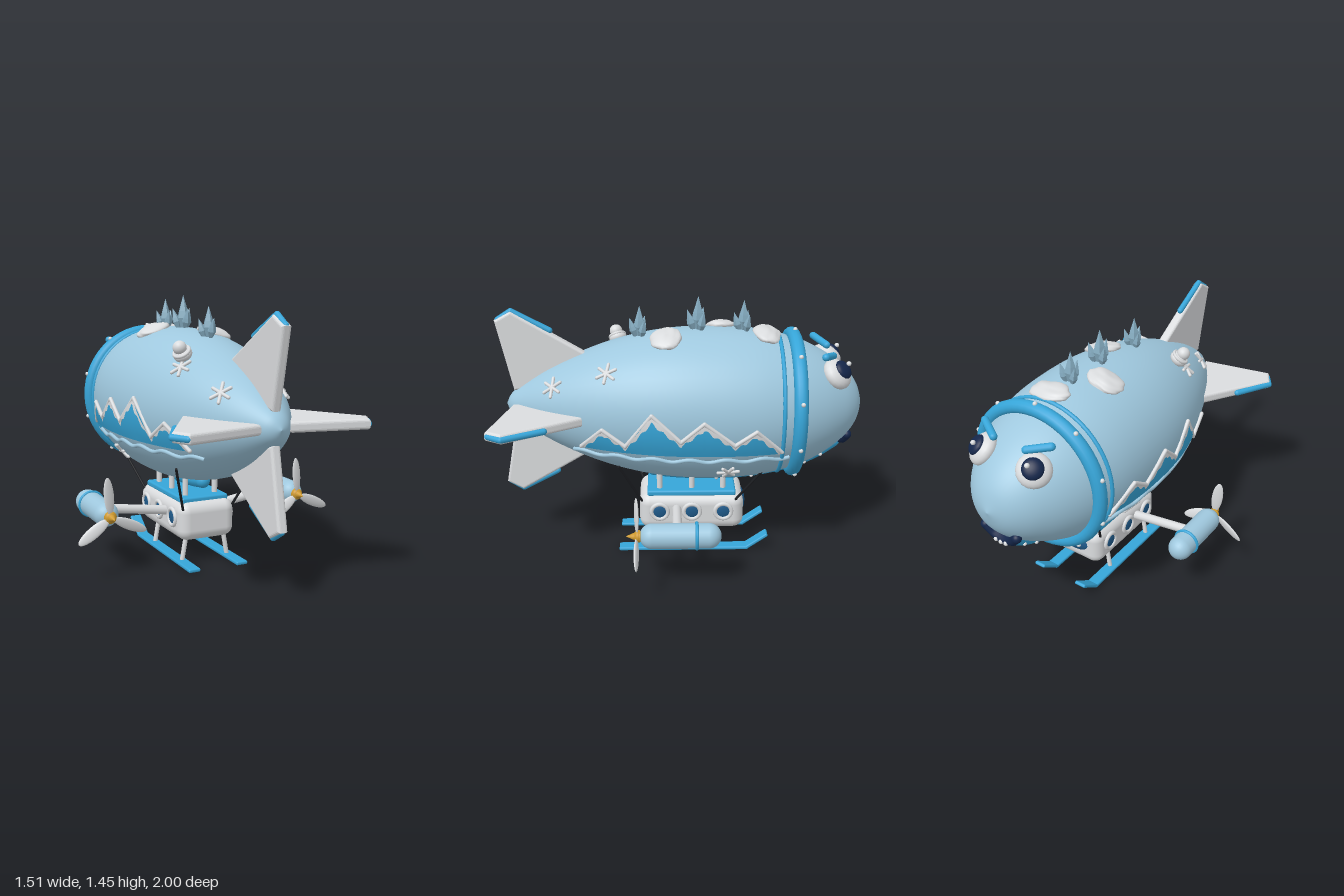
import * as THREE from 'three';
import { mergeVertices } from 'three/addons/utils/BufferGeometryUtils.js';
import { RoundedBoxGeometry } from 'three/addons/geometries/RoundedBoxGeometry.js';

const V = (x, y, z) => new THREE.Vector3(x, y, z);
const AXIS = 0.85; // height of the hull axis
const UP = V(0, 1, 0);

export function createModel() {
  const model = new THREE.Group();
  model.name = 'airship';
  const root = new THREE.Group();
  root.name = 'airshipBody';
  root.position.x = -0.0125;
  model.add(root);

  const mat = (name, color, side = THREE.FrontSide) => {
    const m = new THREE.MeshStandardMaterial({ color, side });
    m.name = name;
    return m;
  };
  const skin = mat('paleBlue', 0x9fc8de);
  const white = mat('snowGrey', 0xdadcde, THREE.DoubleSide);
  const blue = mat('brightBlue', 0x36a5d8, THREE.DoubleSide);
  const navy = mat('navy', 0x14264a);
  const glass = mat('windowBlue', 0x1f5a8a);
  const gold = mat('gold', 0xcf9a2e);
  const black = mat('black', 0x1c1e22);
  const ice = mat('crystalBlue', 0x86adc2);
  ice.flatShading = true;

  const add = (name, geo, material, parent = root, pos) => {
    const m = new THREE.Mesh(geo, material);
    m.name = name;
    if (pos) m.position.copy(pos);
    parent.add(m);
    return m;
  };
  const ball = (name, r, material, parent, pos, scale) => {
    const m = add(name, new THREE.SphereGeometry(r, 20, 14), material, parent, pos);
    if (scale) m.scale.set(...scale);
    return m;
  };
  // Rod or capsule between two points
  const rod = (name, a, b, r, material, parent = root, round = false) => {
    const len = a.distanceTo(b);
    const geo = round ? new THREE.CapsuleGeometry(r, len, 6, 12) : new THREE.CylinderGeometry(r, r, len, 12);
    const m = add(name, geo, material, parent, a.clone().add(b).multiplyScalar(0.5));
    m.quaternion.setFromUnitVectors(UP, b.clone().sub(a).normalize());
    return m;
  };

  // Hull: lathe profile of radius against length, nose at -z
  const profile = new THREE.SplineCurve([
    [0, -1], [0.1, -0.97], [0.175, -0.92], [0.238, -0.85], [0.303, -0.75], [0.36, -0.62], [0.402, -0.45],
    [0.419, -0.3], [0.423, -0.15], [0.418, 0], [0.401, 0.15], [0.37, 0.3], [0.325, 0.45], [0.265, 0.6],
    [0.19, 0.75], [0.105, 0.88], [0.055, 0.94], [0, 0.968],
  ].map(p => new THREE.Vector2(...p))).getPoints(68);
  profile.forEach(p => { p.x = Math.max(0, p.x); });
  add('hull', new THREE.LatheGeometry(profile, 48).rotateX(Math.PI / 2), skin, root, V(0, AXIS, 0));

  const radius = z => {
    const i = Math.max(1, profile.findIndex(p => p.y >= z));
    const a = profile[i - 1], b = profile[i];
    return THREE.MathUtils.lerp(a.x, b.x, (z - a.y) / (b.y - a.y));
  };
  const onSide = (s, y, z, lift = 0) => {
    const r = radius(z) + lift;
    return V(s * Math.sqrt(Math.max(0, r * r - (y - AXIS) ** 2)), y, z);
  };
  const normalAt = p => {
    const slope = (radius(p.z + 0.02) - radius(p.z - 0.02)) / 0.04;
    const n = V(p.x, p.y - AXIS, 0).normalize();
    n.z = -slope;
    return n.normalize();
  };
  // Group standing on the hull with local y pointing outwards
  const mount = (name, p) => {
    const g = new THREE.Group();
    g.name = name;
    g.position.copy(p);
    g.quaternion.setFromUnitVectors(UP, normalAt(p));
    root.add(g);
    return g;
  };
  const onTop = (x, z) => V(x, AXIS + Math.sqrt(radius(z) ** 2 - x * x), z);

  // Collar rings with rivets
  add('collar', new THREE.TorusGeometry(0.378, 0.037, 14, 56), blue, root, V(0, AXIS, -0.61));
  add('thinCollar', new THREE.TorusGeometry(0.388, 0.011, 8, 56), blue, root, V(0, AXIS, -0.525));
  for (let i = 0; i < 10; i++) {
    const a = Math.PI / 2 + i * Math.PI / 5;
    ball('collarRivet', 0.012, white, root, V(Math.cos(a) * 0.414, AXIS + Math.sin(a) * 0.414, -0.615));
  }

  // Keel band under the hull
  const keel = [];
  for (let z = 0.16; z > -0.87; z -= 0.085) keel.push(V(0, AXIS - radius(z) - 0.008, z));
  add('keelBand', new THREE.TubeGeometry(new THREE.CatmullRomCurve3(keel), 48, 0.04, 12), blue);
  ball('keelEnd', 0.04, blue, root, keel[0]);
  ball('keelEnd', 0.04, blue, root, keel[keel.length - 1]);
  for (const z of [-0.79, -0.7, -0.4, -0.2])
    for (const s of [1, -1]) ball('keelRivet', 0.011, white, root, V(s * 0.033, AXIS - radius(z) - 0.032, z));

  // Four tail fins with bright tips
  const finShape = new THREE.Shape([[0.5, 0.28], [0.91, 0.525], [1.0, 0.475], [0.92, 0.08], [0.7, 0.1]]
    .map(p => new THREE.Vector2(...p)));
  const finGeo = new THREE.ExtrudeGeometry(finShape, {
    depth: 0.022, bevelEnabled: true, bevelSize: 0.015, bevelThickness: 0.016, bevelOffset: -0.015, bevelSegments: 4,
  }).translate(0, 0, -0.011).rotateY(-Math.PI / 2);
  for (let i = 0; i < 4; i++) {
    const fin = new THREE.Group();
    fin.name = 'tailFin';
    fin.position.y = AXIS;
    fin.rotation.z = i * Math.PI / 2;
    root.add(fin);
    add('finBlade', finGeo, white, fin);
    rod('finTipTrim', V(0, 0.475, 0.982), V(0, 0.521, 0.91), 0.017, blue, fin, true);
    rod('finEdgeTrim', V(0, 0.521, 0.91), V(0, 0.415, 0.71), 0.017, blue, fin, true);
  }

  // Face: eyes, brows and toothy smile
  for (const s of [1, -1]) {
    const eye = mount('eye', V(s * 0.158, 1.062, -0.825));
    ball('eyeWhite', 0.088, white, eye, V(0, 0, 0), [1, 0.62, 1]);
    const n = normalAt(eye.position);
    const pupil = mount('pupil', eye.position.clone().addScaledVector(n, 0.034).add(V(0, 0.008, -0.008)));
    ball('pupilDisc', 0.054, navy, pupil, V(0, 0, 0), [1, 0.5, 1]);
    ball('eyeGlint', 0.013, white, root, pupil.position.clone().addScaledVector(n, 0.024).add(V(-s * 0.02, 0.015, -0.015)));
    rod('brow', V(s * 0.205, 1.17, -0.75), V(s * 0.1, 1.145, -0.81), 0.02, blue, root, true);
  }
  const smile = new THREE.CatmullRomCurve3([
    V(-0.1, 0.69, -0.915), V(-0.055, 0.645, -0.902), V(0, 0.632, -0.9), V(0.055, 0.645, -0.902), V(0.1, 0.69, -0.915)]);
  add('mouth', new THREE.TubeGeometry(smile, 24, 0.026, 10), navy);
  for (const t of [0, 1]) ball('mouthCorner', 0.026, navy, root, smile.getPoint(t));
  for (const t of [0.36, 0.5, 0.64]) ball('tooth', 0.013, white, root, smile.getPoint(t).add(V(0, -0.006, -0.021)));

  // Ice crystal clusters along the back
  const crystalGeo = new THREE.LatheGeometry([[0, -0.06], [0.034, 0.05], [0.026, 0.085], [0, 0.17]]
    .map(p => new THREE.Vector2(...p)), 5);
  [[0.225, 0.95], [-0.09, 1.05], [-0.335, 0.95]].forEach(([z, k]) => {
    const g = mount('crystalCluster', onTop(0, z));
    g.quaternion.identity();
    g.scale.setScalar(k);
    add('crystal', crystalGeo, ice, g);
    for (let i = 0; i < 3; i++) {
      const a = Math.PI / 2 + i * Math.PI * 2 / 3;
      const c = add('sideCrystal', crystalGeo, ice, g, V(Math.cos(a) * 0.026, 0, Math.sin(a) * 0.026));
      c.scale.set(0.7, 0.62, 0.7);
      c.rotation.set(Math.sin(a) * 0.3, 0, -Math.cos(a) * 0.3);
    }
  });

  // Snow patches
  [[0.035, -0.46, 0.118, 0.078], [-0.13, -0.22, 0.104, 0.085], [0.105, 0.085, 0.104, 0.088]].forEach(([x, z, w, l], k) => {
    let geo = new THREE.SphereGeometry(1, 28, 18);
    geo.deleteAttribute('uv');
    geo.deleteAttribute('normal');
    geo = mergeVertices(geo, 1e-4);
    const p = geo.attributes.position;
    for (let i = 0; i < p.count; i++) {
      const v = V(0, 0, 0).fromBufferAttribute(p, i);
      v.multiplyScalar(0.97 + 0.06 * Math.sin(5 * v.x + 2 * k) * Math.cos(4 * v.z + k) + 0.03 * Math.sin(9 * v.z + 7 * v.y));
      p.setXYZ(i, v.x * w, v.y * 0.034, v.z * l);
    }
    geo.computeVertexNormals();
    add('snowPatchMesh', geo, white, mount('snowPatch', onTop(x, z)));
  });

  // Round vent knob
  const knob = mount('ventKnob', onTop(-0.2, 0.35));
  ball('ventBase', 0.05, white, knob, V(0, 0.02, 0), [1, 0.7, 1]);
  add('ventCollar', new THREE.TorusGeometry(0.042, 0.009, 8, 24).rotateX(Math.PI / 2), white, knob, V(0, 0.035, 0));
  ball('ventBall', 0.036, white, knob, V(0, 0.062, 0));

  // Side decoration: mountains, wave line and snowflakes
  const ridge = [[0.54, 0.7], [0.42, 0.825], [0.3, 0.74], [0.16, 0.925], [0.01, 0.785], [-0.11, 0.89], [-0.27, 0.765], [-0.38, 0.84], [-0.52, 0.705]];
  const ridgeY = z => {
    const i = Math.max(1, ridge.findIndex(p => p[0] <= z + 1e-6));
    const [a, b] = [ridge[i - 1], ridge[i]];
    return THREE.MathUtils.lerp(a[1], b[1], (z - a[0]) / (b[0] - a[0]));
  };
  const strip = (s, low, lift) => {
    const pos = [], idx = [], rows = 5;
    for (let i = 0; i <= 106; i++) {
      const z = 0.54 - i * 0.01, top = ridgeY(z);
      for (let j = 0; j <= rows; j++) {
        const v = onSide(s, THREE.MathUtils.lerp(low(z, top), top, j / rows), z, lift);
        pos.push(v.x, v.y, v.z);
        if (i < 106 && j < rows) {
          const a = i * (rows + 1) + j, b = a + rows + 1;
          idx.push(...(s > 0 ? [a, b, a + 1, b, b + 1, a + 1] : [a, a + 1, b, b, a + 1, b + 1]));
        }
      }
    }
    const geo = new THREE.BufferGeometry();
    geo.setAttribute('position', new THREE.Float32BufferAttribute(pos, 3));
    geo.setIndex(idx);
    geo.computeVertexNormals();
    return geo;
  };
  for (const s of [1, -1]) {
    add('mountains', strip(s, () => 0.695, 0.009), blue);
    add('mountainSnow', strip(s, (z, t) => Math.max(0.695, t - 0.02 - 0.1 * Math.max(0, t - 0.76) - 0.008 * Math.sin(z * 110)), 0.015), white);
    for (let i = 1; i < ridge.length; i++) {
      const [a, b] = [ridge[i - 1], ridge[i]];
      rod('ridgeLine', onSide(s, a[1], a[0], 0.01), onSide(s, b[1], b[0], 0.01), 0.011, white, root, true);
    }
    const wave = [];
    for (let i = 0; i <= 46; i++) {
      const z = 0.585 - i * 0.025;
      wave.push(onSide(s, 0.66 + 0.009 * Math.sin(i * 0.82), z, 0.006));
    }
    add('waveLine', new THREE.TubeGeometry(new THREE.CatmullRomCurve3(wave), 92, 0.011, 8), skin);
    [[1.0, 0.69], [1.1, 0.395], [0.565, -0.245]].forEach(([y, z]) => {
      const flake = mount('snowflake', onSide(s, y, z, 0.004));
      for (let i = 0; i < 3; i++) {
        const a = 0.35 + i * Math.PI / 3, d = V(Math.cos(a), 0, Math.sin(a)).multiplyScalar(0.054);
        rod('snowflakeArm', d, d.clone().negate(), 0.009, white, flake, true);
      }
    });
  }

  // Gondola
  add('gondola', new RoundedBoxGeometry(0.335, 0.215, 0.59, 5, 0.06), white, root, V(0, 0.235, -0.055));
  add('gondolaRoof', new RoundedBoxGeometry(0.28, 0.035, 0.5, 3, 0.012), blue, root, V(0, 0.347, -0.055));
  ball('windscreen', 0.1, glass, root, V(0, 0.25, -0.335), [1.1, 0.6, 0.32]);
  for (const s of [1, -1]) {
    for (const z of [0.126, -0.056, -0.233]) {
      add('portholeRim', new THREE.TorusGeometry(0.046, 0.012, 10, 28).rotateY(Math.PI / 2), white, root, V(s * 0.17, 0.25, z));
      ball('portholeGlass', 0.043, glass, root, V(s * 0.166, 0.25, z), [0.3, 1, 1]);
      rod('hullPost', V(s * 0.09, 0.34, z), V(s * 0.09, 0.46, z), 0.016, white);
    }
    rod('rearCable', V(s * 0.245, 0.57, 0.345), V(s * 0.15, 0.31, 0.225), 0.007, black);
    rod('frontCable', V(s * 0.245, 0.56, -0.455), V(s * 0.15, 0.31, -0.3), 0.007, black);

    // Landing skis with upturned tips
    add('ski', new RoundedBoxGeometry(0.068, 0.02, 0.74, 3, 0.008), blue, root, V(s * 0.143, 0.01, -0.01));
    const tip = add('skiTip', new RoundedBoxGeometry(0.068, 0.02, 0.15, 3, 0.008), blue, root, V(s * 0.143, 0.052, -0.428));
    tip.rotation.x = 0.62;
    for (const z of [0.185, -0.19]) rod('skiLeg', V(s * 0.112, 0.16, z), V(s * 0.138, 0.015, z), 0.013, white);

    // Engine pods with propellers
    rod('engineArm', V(s * 0.15, 0.263, 0.03), V(s * 0.54, 0.318, 0.03), 0.026, white);
    const pod = new THREE.Group();
    pod.name = 'engine';
    pod.position.set(s * 0.566, 0.322, 0);
    root.add(pod);
    add('enginePod', new THREE.CapsuleGeometry(0.066, 0.295, 8, 24).rotateX(Math.PI / 2), skin, pod, V(0, 0, 0.015));
    add('engineRing', new THREE.TorusGeometry(0.067, 0.009, 8, 32), blue, pod, V(0, 0, -0.07));
    add('spinner', new THREE.ConeGeometry(0.033, 0.075, 16).rotateX(Math.PI / 2), gold, pod, V(0, 0, 0.262));
    ball('propellerHub', 0.033, gold, pod, V(0, 0, 0.235), [1, 1, 0.7]);
    for (let i = 0; i < 3; i++) {
      const a = THREE.MathUtils.degToRad(95 + i * 120);
      const blade = ball('propellerBlade', 0.1, white, pod, V(Math.cos(a) * 0.115, Math.sin(a) * 0.115, 0.242), [1, 0.31, 0.1]);
      blade.rotation.set(0.3, 0, a, 'ZYX');
    }
  }
  return model;
}
